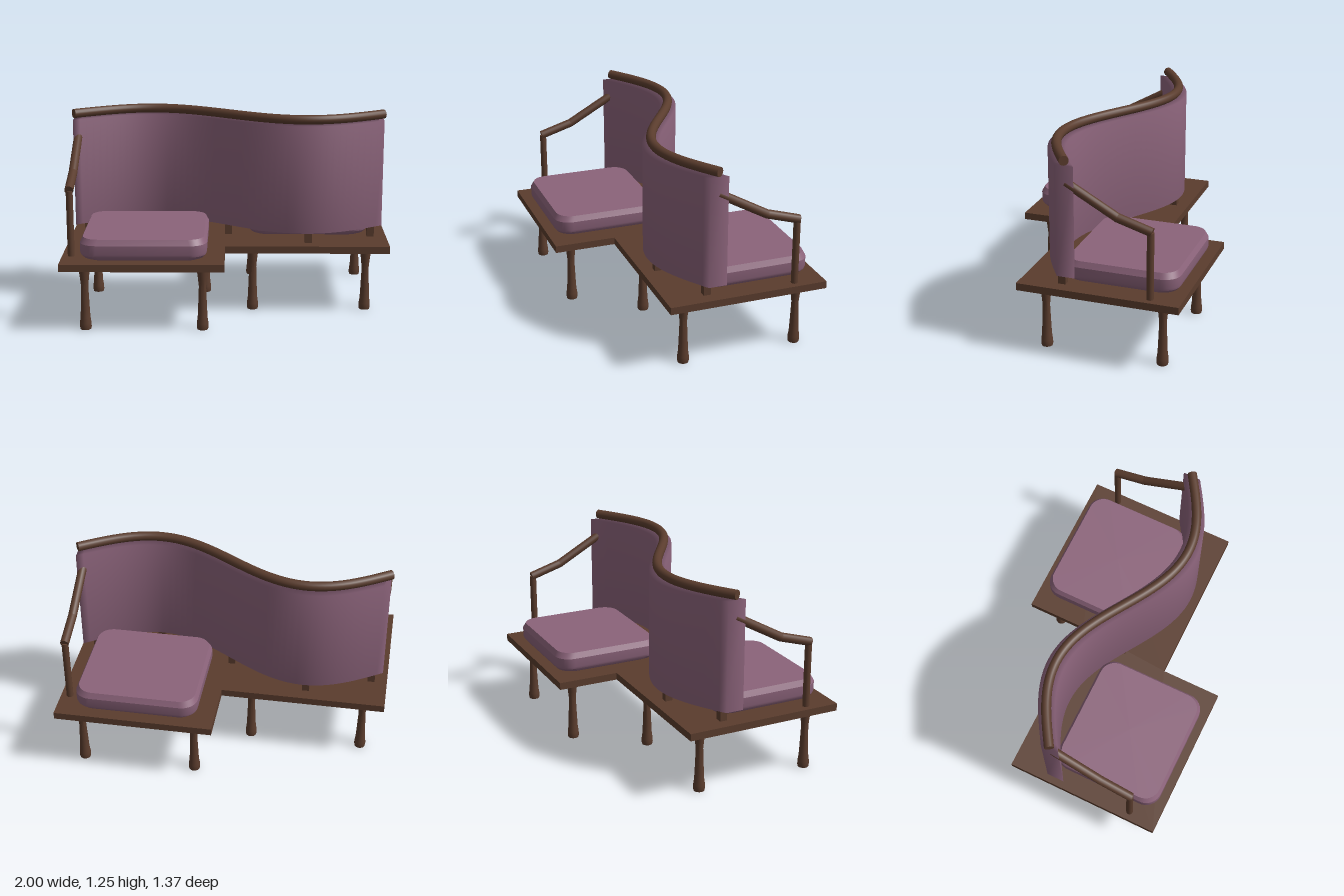
import * as THREE from 'three';
import { mergeVertices, toCreasedNormals } from 'three/addons/utils/BufferGeometryUtils.js';

const wood = new THREE.MeshStandardMaterial({ color: 0x5a3c2d });
wood.name = 'dark wood';
const fabric = new THREE.MeshStandardMaterial({ color: 0x8b637a });
fabric.name = 'mauve fabric';

// S-curve followed by the backrest, its supports and the top rail
const HALF = 0.97;
const waveZ = (x) => -0.2 * Math.sin((Math.PI * (x + HALF)) / HALF);

function add(parent, name, geometry, material, x = 0, y = 0, z = 0) {
  const mesh = new THREE.Mesh(geometry, material);
  mesh.name = name;
  mesh.position.set(x, y, z);
  parent.add(mesh);
  return mesh;
}

// Straight round bar between two points
function rod(parent, name, a, b, radius) {
  const dir = b.clone().sub(a);
  const mesh = add(parent, name, new THREE.CylinderGeometry(radius, radius, dir.length(), 16), wood);
  mesh.position.copy(a).add(b).multiplyScalar(0.5);
  mesh.quaternion.setFromUnitVectors(new THREE.Vector3(0, 1, 0), dir.normalize());
}

// Z-shaped seat board shared by both seats
function platformGeometry() {
  const half = [[-1, 0.685], [-0.02, 0.685], [-0.02, 0.3]];
  const corners = [...half, ...half.map(([x, z]) => [-x, -z])];
  corners.splice(3, 0, [1, 0.3]);
  corners.push([-1, -0.3]);
  const shape = new THREE.Shape(corners.map(([x, z]) => new THREE.Vector2(x, -z)));
  const geo = new THREE.ExtrudeGeometry(shape, { depth: 0.045, bevelEnabled: false });
  return geo.rotateX(-Math.PI / 2);
}

// Rounded-rectangle rings stacked into a padded cushion
function cushionGeometry(w, d, r) {
  const outline = [];
  const steps = 8;
  for (let c = 0; c < 4; c++) {
    const sx = c === 0 || c === 3 ? 1 : -1;
    const sz = c < 2 ? 1 : -1;
    for (let i = 0; i <= steps; i++) {
      const a = ((c + i / steps) * Math.PI) / 2;
      outline.push([sx * (w - r) + r * Math.cos(a), sz * (d - r) + r * Math.sin(a)]);
    }
  }
  const rings = [[0, 0.04], [0.01, 0.02], [0.03, 0.004], [0.045, 0], [0.1, 0], [0.135, 0.017]];
  const n = outline.length;
  const pos = [];
  const index = [];
  for (const [y, inset] of rings) {
    for (const [x, z] of outline) pos.push(x * (1 - inset / w), y, -z * (1 - inset / d));
  }
  const bottom = n * rings.length;
  pos.push(0, 0, 0, 0, 0.135, 0);
  for (let i = 0; i < n; i++) {
    const j = (i + 1) % n;
    for (let k = 0; k < rings.length - 1; k++) {
      const a = k * n;
      index.push(a + i, a + j, a + n + j, a + i, a + n + j, a + n + i);
    }
    const top = (rings.length - 1) * n;
    index.push(bottom, j, i, bottom + 1, top + i, top + j);
  }
  const geo = new THREE.BufferGeometry();
  geo.setAttribute('position', new THREE.Float32BufferAttribute(pos, 3));
  geo.setIndex(index);
  return toCreasedNormals(geo, 0.42);
}

// Upright slab bent along the S-curve, softly shaded over its edges
function backrestGeometry() {
  const geo = new THREE.BoxGeometry(HALF * 2, 0.675, 0.11, 48, 1, 1);
  const p = geo.attributes.position;
  for (let i = 0; i < p.count; i++) p.setZ(i, p.getZ(i) + waveZ(p.getX(i)));
  geo.deleteAttribute('normal');
  geo.deleteAttribute('uv');
  const merged = mergeVertices(geo);
  merged.computeVertexNormals();
  return merged;
}

// One seat: cushion, arm and four turned legs
function createSeat(name) {
  const seat = new THREE.Group();
  seat.name = name;
  add(seat, 'cushion', cushionGeometry(0.38, 0.348, 0.1), fabric, -0.505, 0.445, 0.288);

  // Arm: upright post and a bent handrail running to the backrest
  const v = (y, z) => new THREE.Vector3(-0.945, y, z);
  rod(seat, 'armPost', v(0.44, 0.5), v(0.85, 0.5), 0.021);
  rod(seat, 'armRailFront', v(0.853, 0.51), v(0.915, 0.305), 0.027);
  rod(seat, 'armRailBack', v(0.915, 0.305), v(1.085, 0.0), 0.027);
  add(seat, 'armJoint', new THREE.SphereGeometry(0.027, 16, 10), wood, -0.945, 0.915, 0.305);

  const profile = [[0, 0], [0.033, 0], [0.036, 0.015], [0.035, 0.04], [0.03, 0.075], [0.027, 0.14],
    [0.022, 0.27], [0.027, 0.32], [0.037, 0.4]].map(([r, y]) => new THREE.Vector2(r, y));
  const leg = toCreasedNormals(new THREE.LatheGeometry(profile, 16), 0.7);
  for (const x of [-0.863, -0.153]) {
    for (const z of [0.553, -0.17]) add(seat, 'leg', leg, wood, x, 0, z);
  }
  return seat;
}

export function createModel() {
  const model = new THREE.Group();
  model.name = 'conversationBench';

  add(model, 'platform', platformGeometry(), wood, 0, 0.4, 0);

  // Two identical seats facing opposite ways
  const front = createSeat('frontSeat');
  const back = createSeat('backSeat');
  back.rotation.y = Math.PI;
  model.add(front, back);

  add(model, 'backrest', backrestGeometry(), fabric, 0, 0.8525, 0);

  // Short blocks holding the backrest above the platform
  for (const x of [-0.9, -0.5, 0, 0.5, 0.9]) {
    add(model, 'backSupport', new THREE.BoxGeometry(0.045, 0.09, 0.045), wood, x, 0.485, waveZ(x));
  }

  // Rounded top rail with closed ends
  const points = [];
  for (let i = 0; i <= 24; i++) {
    const x = -HALF + (2 * HALF * i) / 24;
    points.push(new THREE.Vector3(x, 1.222, waveZ(x)));
  }
  const curve = new THREE.CatmullRomCurve3(points);
  add(model, 'topRail', new THREE.TubeGeometry(curve, 64, 0.029, 16), wood);
  for (const t of [0, 1]) {
    const cap = add(model, 'railEnd', new THREE.CircleGeometry(0.029, 16), wood);
    const end = curve.getPoint(t);
    cap.position.copy(end);
    cap.lookAt(end.clone().addScaledVector(curve.getTangent(t), t ? 1 : -1));
  }
  return model;
}
